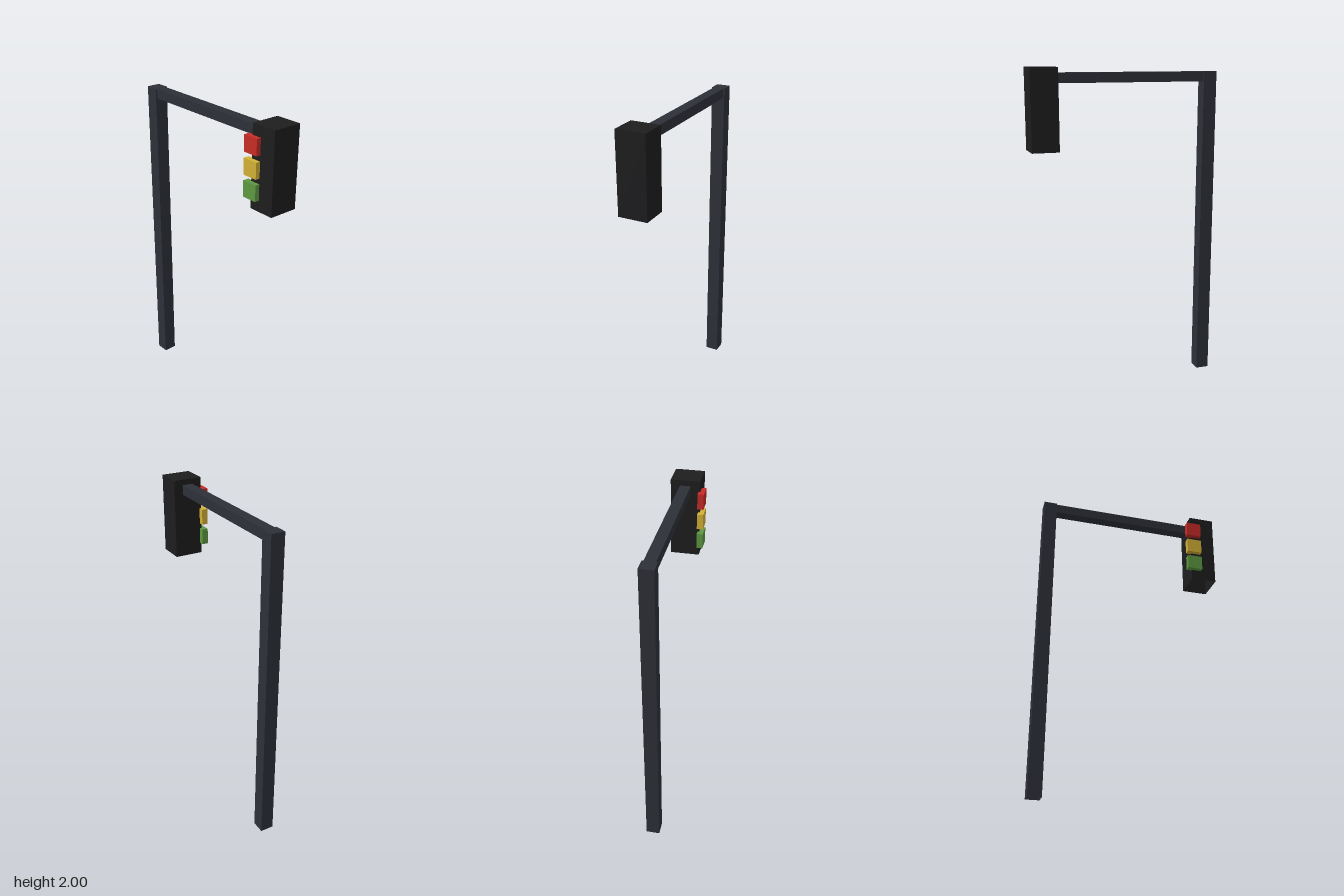
import * as THREE from 'three';

// Box given by its min and max corners; openBottom drops the downward face
function box(name, min, max, color, openBottom = false) {
  const size = max.map((v, i) => v - min[i]);
  const geometry = new THREE.BoxGeometry(...size);
  if (openBottom) {
    const index = Array.from(geometry.index.array);
    index.splice(18, 6);
    geometry.setIndex(index);
    geometry.clearGroups();
  }
  const material = new THREE.MeshStandardMaterial({ color, flatShading: true });
  if (openBottom) material.side = THREE.DoubleSide;
  const mesh = new THREE.Mesh(geometry, material);
  mesh.name = name;
  mesh.position.set(...min.map((v, i) => v + size[i] / 2));
  return mesh;
}

export function createModel() {
  const group = new THREE.Group();
  group.name = 'trafficLight';

  const steel = 0x2d3038;

  // Hollow upright and the arm reaching out from its top
  group.add(box('pole', [-0.587, 0, -0.058], [-0.504, 1.968, 0.026], steel, true));
  group.add(box('arm', [-0.504, 1.907, -0.049], [0.43, 1.967, 0.016], steel));

  // Signal housing, open underneath
  group.add(box('housing', [0.422, 1.513, -0.105], [0.587, 2, 0.074], 0x1d1d1f, true));

  // Lamps, set off-centre and sunk slightly into the housing front
  const lamps = [
    ['redLamp', 1.839, 0xc62b26],
    ['yellowLamp', 1.708, 0xd3b035],
    ['greenLamp', 1.579, 0x5d9840],
  ];
  for (const [name, y, color] of lamps) {
    group.add(box(name, [0.388, y, 0.064], [0.486, y + 0.096, 0.102], color));
  }

  return group;
}
